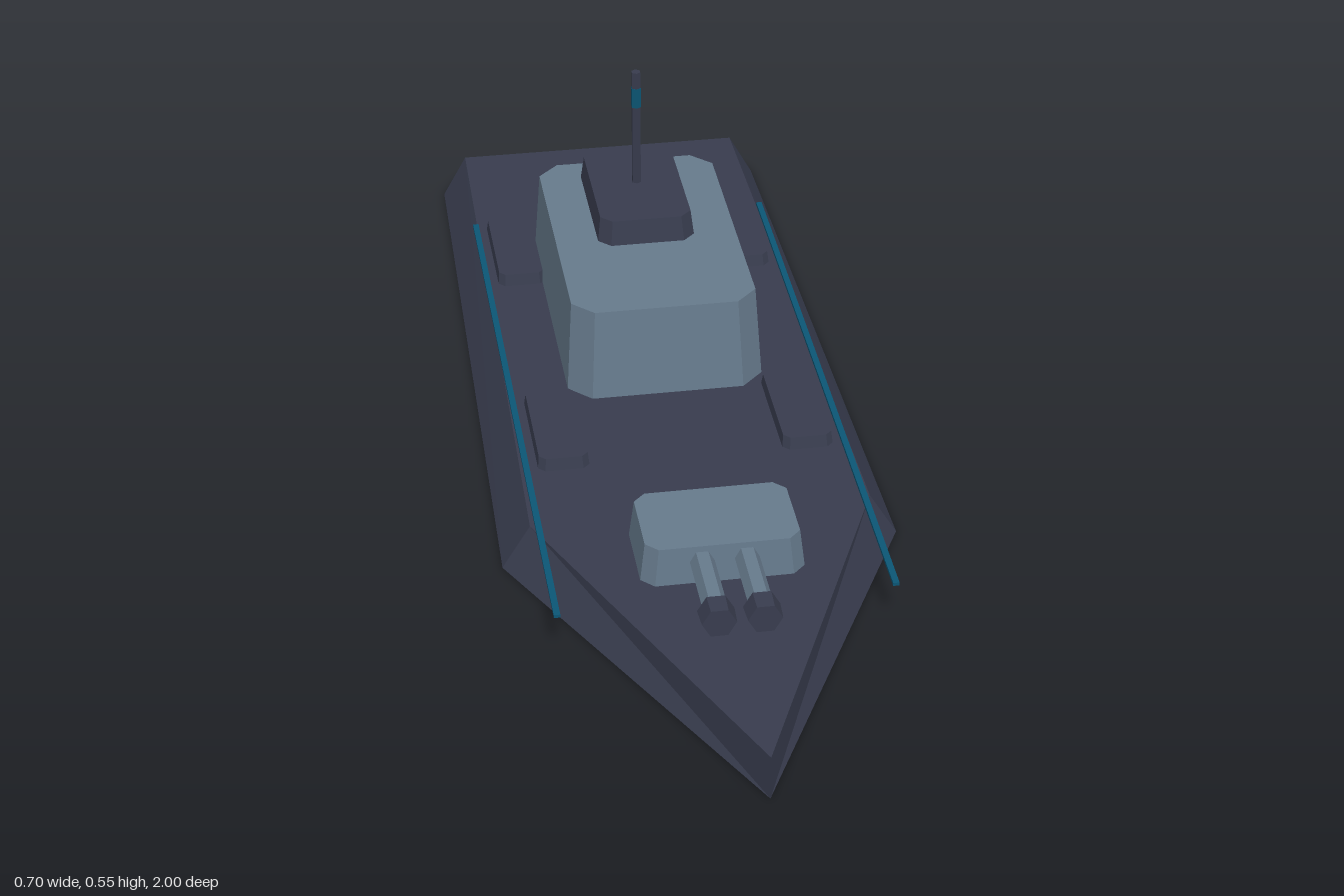
import * as THREE from 'three';

// Solid between two convex outlines [x, z], listed counterclockwise from above
function loft(bottom, top, y0, y1, closedBelow = true) {
  const n = bottom.length;
  const a = bottom.map(([x, z]) => [x, y0, z]);
  const b = top.map(([x, z]) => [x, y1, z]);
  const v = [];
  const tri = (...points) => points.forEach((p) => v.push(...p));
  for (let i = 0; i < n; i++) {
    const j = (i + 1) % n;
    if (i < n / 2) {
      tri(a[i], a[j], b[j]);
      tri(a[i], b[j], b[i]);
    } else {
      // mirrored diagonal on the other half
      tri(a[i], a[j], b[i]);
      tri(a[j], b[j], b[i]);
    }
  }
  for (let i = 1; i < n - 1; i++) {
    tri(b[0], b[i], b[i + 1]);
    if (closedBelow) tri(a[0], a[i + 1], a[i]);
  }
  const geometry = new THREE.BufferGeometry();
  geometry.setAttribute('position', new THREE.Float32BufferAttribute(v, 3));
  geometry.computeVertexNormals();
  return geometry;
}

// Box with cut corners that narrows towards the top
function taperedBlock(halfX, halfZ, cut, y0, y1, taper) {
  const ring = [
    [halfX, halfZ - cut], [halfX, -halfZ + cut],
    [halfX - cut, -halfZ], [-halfX + cut, -halfZ],
    [-halfX, -halfZ + cut], [-halfX, halfZ - cut],
    [-halfX + cut, halfZ], [halfX - cut, halfZ],
  ];
  return loft(ring, ring.map(([x, z]) => [x * taper, z * taper]), y0, y1);
}

// Six-sided rod along z, from z0 to z1
function hexRod(rBack, rFront, z0, z1) {
  return new THREE.CylinderGeometry(rFront, rBack, z1 - z0, 6)
    .rotateY(Math.PI / 6)
    .rotateX(Math.PI / 2)
    .translate(0, 0, (z0 + z1) / 2);
}

export function createModel() {
  const model = new THREE.Group();
  model.name = 'patrolShip';

  const material = (name, color) => {
    const m = new THREE.MeshStandardMaterial({ color, flatShading: true });
    m.name = name;
    return m;
  };
  const darkHull = material('dark navy', 0x383c4e);
  const greyBlue = material('grey blue', 0x667a8c);
  const teal = material('teal', 0x0b5675);
  darkHull.side = THREE.DoubleSide;

  const add = (name, geometry, mat, x = 0, y = 0, z = 0) => {
    const mesh = new THREE.Mesh(geometry, mat);
    mesh.name = name;
    mesh.position.set(x, y, z);
    model.add(mesh);
    return mesh;
  };

  // Hull: open below, flared towards the waterline, with an upright stem
  const keel = [[0, 1], [0.35, 0.325], [0.325, -1], [-0.325, -1], [-0.35, 0.325]];
  const deck = keel.map(([x, z]) => [x * 0.857, z]);
  add('hull', loft(keel, deck, 0, 0.083, false), darkHull);

  // Superstructure
  add('cabin', taperedBlock(0.181, 0.295, 0.041, 0.09, 0.263, 0.94), greyBlue, 0, 0, -0.34);
  add('bridge', taperedBlock(0.091, 0.146, 0.022, 0.263, 0.31, 0.94), darkHull, 0, 0, -0.44);

  // Mast with a coloured band
  add('mast', new THREE.CylinderGeometry(0.009, 0.009, 0.234, 6), darkHull, 0, 0.433, -0.438);
  add('mastBand', new THREE.CylinderGeometry(0.0098, 0.0098, 0.04, 6), teal, 0, 0.497, -0.438);

  // Gun turret
  add('turret', taperedBlock(0.14, 0.088, 0.022, 0.112, 0.182, 0.94), greyBlue, 0, 0, 0.481);

  for (const side of [1, -1]) {
    // Twin guns
    add('gunBarrel', hexRod(0.021, 0.021, 0.54, 0.71), greyBlue, side * 0.038, 0.153);
    add('gunMuzzle', hexRod(0.031, 0.029, 0.7, 0.738), darkHull, side * 0.038, 0.153);

    // Deck lockers
    for (const z of [0.056, -0.582]) {
      add('deckLocker', taperedBlock(0.046, 0.118, 0.012, 0.09, 0.112, 0.95), darkHull, side * 0.22, 0, z);
    }

    // Side rails
    add('sideRail', new THREE.BoxGeometry(0.011, 0.006, 1.3), teal, side * 0.287, 0.093, -0.05);
  }

  return model;
}
